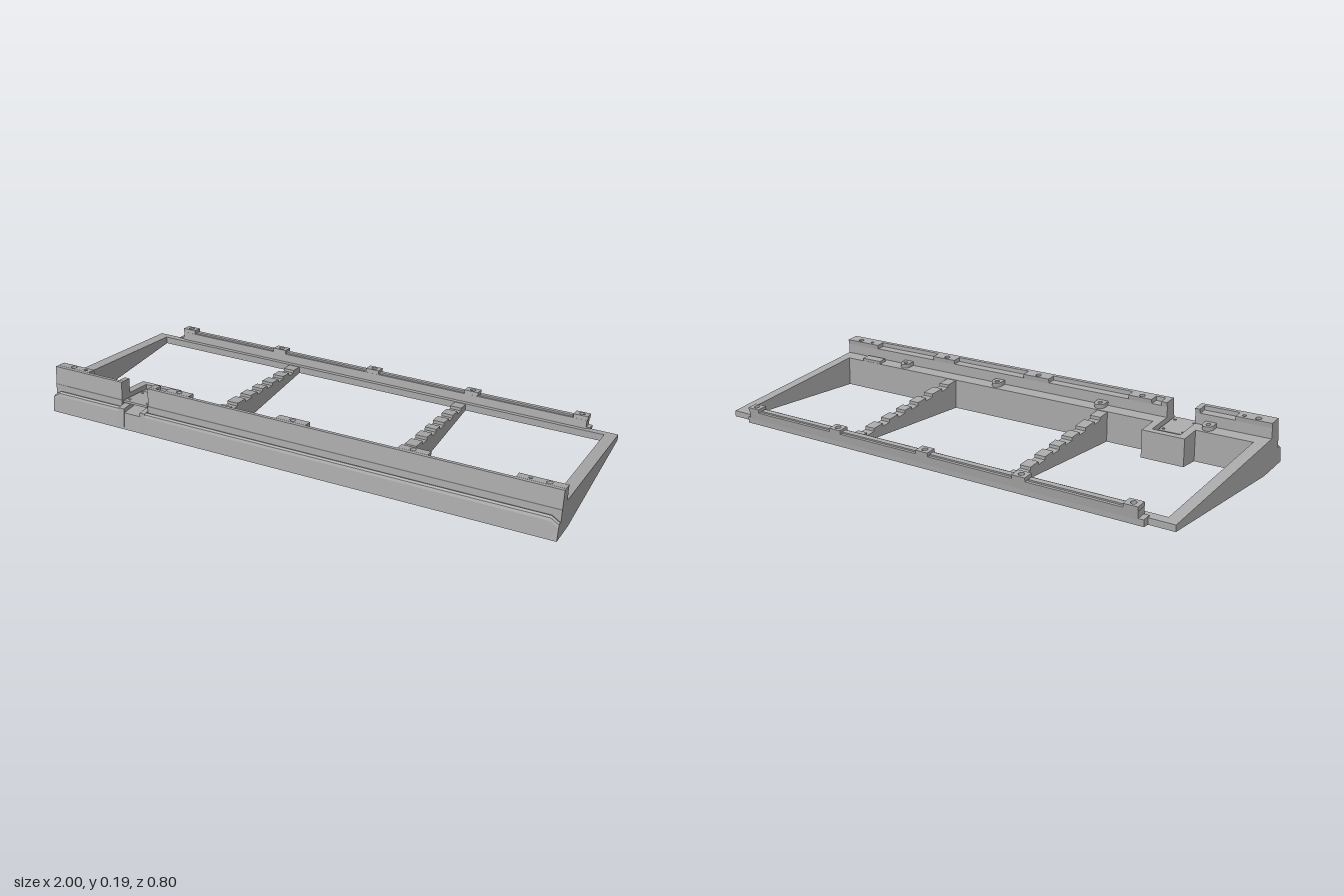
import * as THREE from 'three';

export function createModel() {
  const model = new THREE.Group();
  const grey = new THREE.MeshStandardMaterial({ color: 0xa9a9a9 });
  const SLOPE = 0.151;
  const top = (z) => 0.0785 + SLOPE * z; // height of the sloping upper plane

  const add = (name, geometry) => {
    const mesh = new THREE.Mesh(geometry, grey);
    mesh.name = name;
    model.add(mesh);
    return mesh;
  };

  // Extrude a [z, y] cross-section along x
  const bar = (name, points, x0, x1) => {
    const shape = new THREE.Shape(points.map(([z, y]) => new THREE.Vector2(z, y)));
    const g = new THREE.ExtrudeGeometry(shape, { depth: x1 - x0, bevelEnabled: false });
    g.rotateY(-Math.PI / 2);
    g.translate(x1, 0, 0);
    return add(name, g);
  };

  // Tilted plate with holes; y is the underside height at its centre
  const plate = (name, shape, x, y, z, h, holes) => {
    for (const [hx, hz, r] of holes) {
      const hole = new THREE.Path();
      hole.absarc(hx, -hz, r, 0, Math.PI * 2, true);
      shape.holes.push(hole);
    }
    const g = new THREE.ExtrudeGeometry(shape, { depth: h, bevelEnabled: false, curveSegments: 12 });
    g.rotateX(-Math.PI / 2 - Math.atan(SLOPE));
    g.translate(x, y, z);
    return add(name, g);
  };
  const rect = (w, d) => new THREE.Shape([
    new THREE.Vector2(-w / 2, -d / 2), new THREE.Vector2(w / 2, -d / 2),
    new THREE.Vector2(w / 2, d / 2), new THREE.Vector2(-w / 2, d / 2),
  ]);

  // Wedge side walls
  for (const s of [-1, 1]) {
    const [a, b] = s < 0 ? [-1, -0.955] : [0.955, 1];
    bar('sideWall', [[-0.363, 0], [0.265, 0], [0.265, top(0.265)], [-0.363, top(-0.363)]], a, b);
  }

  // Rear rail
  bar('rearRail', [[-0.363, 0], [-0.33, 0], [-0.33, top(-0.33)], [-0.363, top(-0.363)]], -0.955, 0.955);

  // Rear lip with strips and screw bosses
  bar('rearLipBase', [[-0.388, 0], [-0.355, 0], [-0.355, 0.03], [-0.39, 0.025]], -0.9, 0.895);
  bar('rearLip', [[-0.39, 0.02], [-0.35, 0.02], [-0.355, 0.058], [-0.395, 0.052]], -0.88, 0.88);
  const rearScrews = [-0.855, -0.42, 0, 0.42, 0.855];
  rearScrews.forEach((x, i) => {
    plate('rearScrewBoss', rect(0.055, 0.041), x, 0.054, -0.3755, 0.016, [[0, 0, 0.011]]);
    if (i < 4) {
      plate('rearStrip', rect(0.37, 0.02), x + (rearScrews[i + 1] - x) / 2, 0.054, -0.375, 0.007, []);
    }
  });

  // Cross ribs with notched tops
  for (const [x0, x1] of [[-0.36, -0.315], [0.365, 0.41]]) {
    const points = [[0.265, 0], [0.265, top(0.265) - 0.002]];
    for (const z of [0.19, 0.09, 0.0, -0.08, -0.17, -0.26]) {
      const hi = (q) => top(q) - 0.002;
      const a = z + 0.02, b = z - 0.02;
      points.push([a, hi(a)], [a, hi(a) - 0.012], [b, hi(b) - 0.012], [b, hi(b)]);
    }
    points.push([-0.335, top(-0.335) - 0.002], [-0.335, 0]);
    bar('crossRib', points, x0, x1);
  }

  // Front beam: solid blocks alternating with pockets open underneath
  const outer = [
    [0.4, 0.018], [0.392, 0.085], [0.388, 0.095], [0.38, 0.1], [0.373, 0.097],
    [0.368, 0.09], [0.366, 0.12], [0.31, top(0.31)], [0.26, top(0.26)], [0.26, 0],
  ];
  const solid = [[0.27, 0], ...outer];
  const hollow = [
    [0.27, 0], [0.28, 0.0014], [0.28, 0.09], [0.372, 0.09], [0.384, 0.016], ...outer,
  ];
  const blocks = [[-0.97, -0.9], [-0.79, -0.7], [-0.585, -0.43], [-0.35, -0.31],
    [-0.04, 0.04], [0.37, 0.5], [0.9, 0.97]];
  const pockets = [[-0.9, -0.79], [-0.43, -0.35], [-0.31, -0.04], [0.04, 0.37], [0.5, 0.9]];
  blocks.forEach(([a, b]) => bar('frontBeamBlock', solid, a, b));
  pockets.forEach(([a, b]) => bar('frontBeamPocket', hollow, a, b));

  // Beam ends, with the rounded front ridge sloping down at the corners
  for (const [a, b] of [[-1, -0.97], [0.97, 1]]) {
    const p = bar('frontBeamEnd', solid, a, b).geometry;
    const pos = p.attributes.position;
    for (let i = 0; i < pos.count; i++) {
      const ridge = pos.getZ(i) > 0.367 && pos.getY(i) > 0.08 && pos.getY(i) < 0.11;
      if (ridge && Math.abs(pos.getX(i)) > 0.99) pos.setY(i, pos.getY(i) - 0.02);
    }
    p.computeVertexNormals();
  }

  // Port notch with a lower central opening
  for (const [a, b, floor] of [[-0.7, -0.675, 0.1], [-0.675, -0.605, 0.084], [-0.605, -0.585, 0.1]]) {
    bar('portFloor', [[0.27, 0], [0.4, 0.018], [0.391, floor], [0.26, floor], [0.26, 0]], a, b);
  }

  // Upright front lip, split by the notch
  for (const [a, b] of [[-1, -0.7], [-0.585, 1]]) {
    bar('frontLipWall', [[0.34, 0.11], [0.368, 0.09], [0.357, 0.19], [0.342, 0.188]], a, b);
    bar('frontLipLedge', [[0.31, 0.12], [0.345, 0.12], [0.345, 0.172], [0.31, 0.167]], a, b);
  }

  // Raised lip pads with screw holes
  const pads = [[-1, -0.86, [-0.94, -0.885]], [-0.72, -0.7, []], [-0.585, -0.56, []],
    [-0.52, -0.42, [-0.47]], [-0.06, 0.06, [0]], [0.41, 0.52, [0.46]], [0.83, 1, [0.875, 0.94]]];
  for (const [a, b, screws] of pads) {
    const c = (a + b) / 2;
    const holes = screws.map((x) => [x - c, 0, Math.abs(Math.abs(x) - 0.88) < 0.01 ? 0.007 : 0.011]);
    plate('frontLipPad', rect(b - a, 0.036), c, 0.168, 0.327, 0.018, holes);
  }

  // Rounded screw tabs on the front deck
  for (const x of [-0.765, -0.31, 0.175, 0.655]) {
    const tab = new THREE.Shape();
    tab.moveTo(-0.022, -0.022);
    tab.lineTo(0.022, -0.022);
    tab.lineTo(0.022, 0);
    tab.absarc(0, 0, 0.022, 0, Math.PI, false);
    plate('deckScrewTab', tab, x, top(0.29), 0.29, 0.017, [[0, 0, 0.009]]);
  }
  plate('deckBlock', rect(0.095, 0.035), 0.825, top(0.278), 0.278, 0.012, []);

  // Port housing: box, rim and drilled mounting plate
  bar('portBox', [[0.18, 0], [0.27, 0], [0.27, 0.098], [0.18, 0.085]], -0.73, -0.555);
  bar('portBoxRim', [[0.18, 0.08], [0.203, 0.08], [0.203, top(0.203)], [0.18, top(0.18)]], -0.73, -0.555);
  for (const [a, b] of [[-0.73, -0.7], [-0.585, -0.555]]) {
    bar('portBoxSide', [[0.2, 0.08], [0.27, 0.08], [0.27, top(0.27)], [0.2, top(0.2)]], a, b);
  }
  const corners = [[-0.04, -0.045], [0.04, -0.045], [-0.04, 0.04], [0.04, 0.04]];
  plate('portPlate', rect(0.105, 0.125), -0.643, 0.1, 0.3, 0.008, corners.map(([x, z]) => [x, z, 0.006]));

  return model;
}
